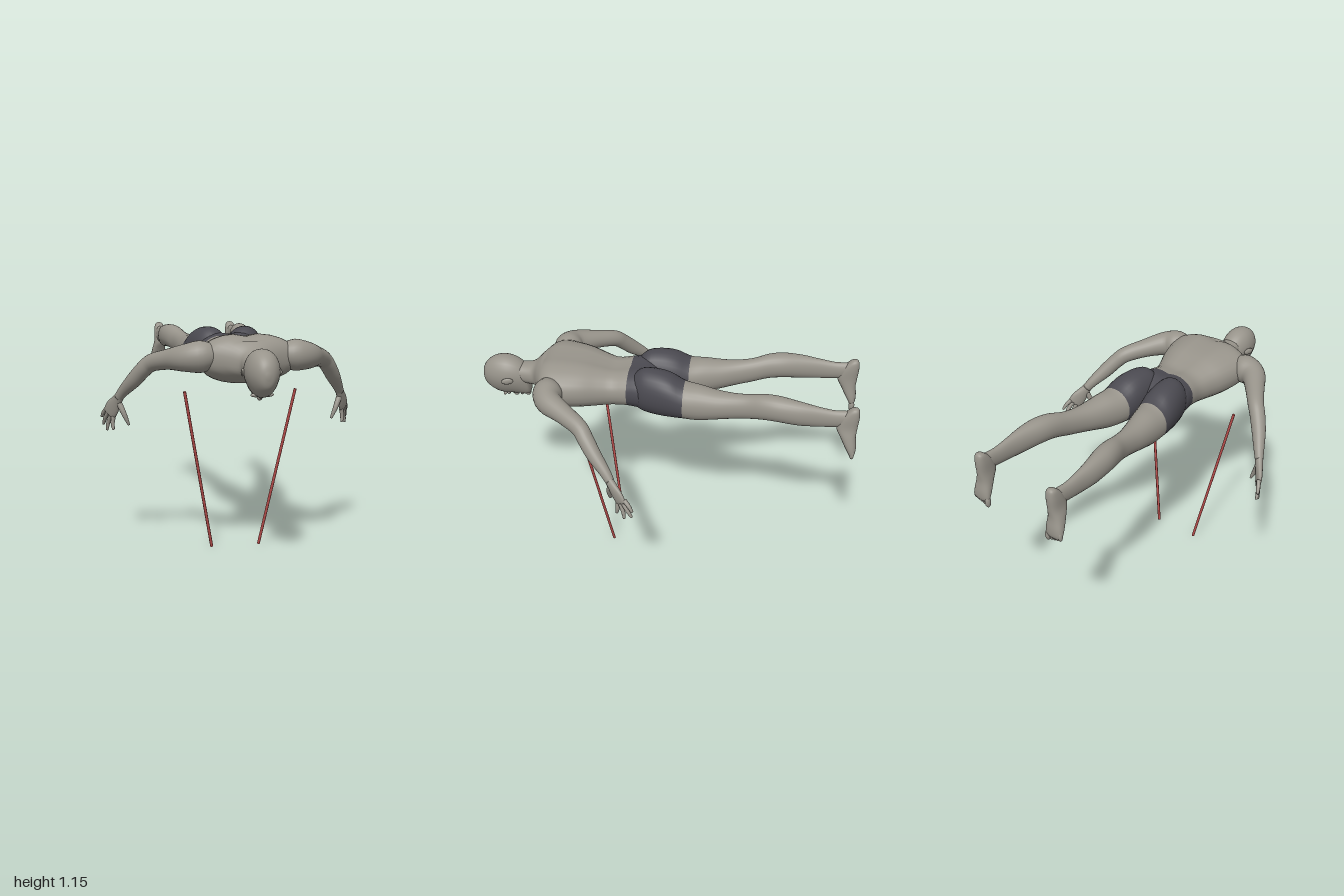
import * as THREE from 'three';

const material = (name, color) => {
  const m = new THREE.MeshStandardMaterial({ color });
  m.name = name;
  return m;
};
const skin = material('skin', 0x98948b);
const cloth = material('dark cloth', 0x4b4a51);
const red = material('red stick', 0xb24b49);

const SEG = 28, STEP = 4;
const V = (x, y, z) => new THREE.Vector3(x, y, z);

// Smoothly resamples a list of stations; original stations stay at multiples of STEP.
function resample(st) {
  const out = [];
  for (let i = 0; i < st.length - 1; i++) {
    const a = st[Math.max(i - 1, 0)], b = st[i], c = st[i + 1], d = st[Math.min(i + 2, st.length - 1)];
    for (let k = 0; k < STEP; k++) {
      const t = k / STEP;
      out.push(b.map((_, j) => {
        const m0 = (c[j] - a[j]) / 2, m1 = (d[j] - b[j]) / 2;
        return b[j] + m0 * t + (3 * (c[j] - b[j]) - 2 * m0 - m1) * t * t + (2 * (b[j] - c[j]) + m0 + m1) * t ** 3;
      }));
    }
  }
  out.push(st[st.length - 1]);
  return out;
}

// Closed skin over rings of points; rows after splitRow go to the second material.
function loft(name, rings, mats = [skin], splitRow = Infinity) {
  const pos = [], idx = [], n = rings.length;
  rings.forEach(r => r.forEach(p => pos.push(p.x, p.y, p.z)));
  const centre = r => r.reduce((s, p) => s.add(p), V(0, 0, 0)).divideScalar(SEG);
  const c0 = centre(rings[0]), c1 = centre(rings[n - 1]);
  pos.push(c0.x, c0.y, c0.z, c1.x, c1.y, c1.z);
  let splitAt = 0;
  for (let j = 0; j < SEG; j++) idx.push(n * SEG, (j + 1) % SEG, j);
  for (let i = 0; i < n - 1; i++) {
    if (i === splitRow) splitAt = idx.length;
    for (let j = 0; j < SEG; j++) {
      const k = (j + 1) % SEG, a = i * SEG + j, b = i * SEG + k;
      idx.push(a, b, a + SEG, b, b + SEG, a + SEG);
    }
  }
  for (let j = 0; j < SEG; j++) idx.push(n * SEG + 1, (n - 1) * SEG + j, (n - 1) * SEG + (j + 1) % SEG);
  // Turn all faces outward
  const at = i => V(pos[3 * i], pos[3 * i + 1], pos[3 * i + 2]);
  let volume = 0;
  for (let i = 0; i < idx.length; i += 3) volume += at(idx[i]).dot(at(idx[i + 1]).cross(at(idx[i + 2])));
  if (volume < 0) for (let i = 0; i < idx.length; i += 3) [idx[i], idx[i + 1]] = [idx[i + 1], idx[i]];
  const g = new THREE.BufferGeometry();
  g.setAttribute('position', new THREE.Float32BufferAttribute(pos, 3));
  g.setIndex(idx);
  g.computeVertexNormals();
  if (splitAt) {
    g.addGroup(0, splitAt, 0);
    g.addGroup(splitAt, idx.length - splitAt, 1);
  }
  const mesh = new THREE.Mesh(g, splitAt ? mats : mats[0]);
  mesh.name = name;
  return mesh;
}

// Rings from stations [along, centre x, half width, low, high]; place() maps (x, across, along).
const bodyRings = (st, place, power = 1) => resample(st).map(([t, x, w, lo, hi]) =>
  Array.from({ length: SEG }, (_, j) => {
    const a = j / SEG * Math.PI * 2, c = Math.cos(a), s = Math.sin(a);
    const f = v => Math.sign(v) * Math.abs(v) ** power;
    return place(x + w * f(c), (lo + hi) / 2 + (hi - lo) / 2 * f(s), t);
  }));

// Rings along a path of stations [x, y, z, wide radius, thin radius].
function sweepRings(st, wide) {
  const s = resample(st), p = s.map(q => V(q[0], q[1], q[2]));
  return s.map((q, i) => {
    const t = p[Math.min(i + 1, p.length - 1)].clone().sub(p[Math.max(i - 1, 0)]).normalize();
    const u = wide.clone().addScaledVector(t, -wide.dot(t)).normalize();
    const v = t.clone().cross(u);
    return Array.from({ length: SEG }, (_, j) => {
      const a = j / SEG * Math.PI * 2;
      return p[i].clone().addScaledVector(u, q[3] * Math.cos(a)).addScaledVector(v, q[4] * Math.sin(a));
    });
  });
}

function ball(name, x, y, z, rx, ry, rz) {
  const m = new THREE.Mesh(new THREE.SphereGeometry(1, 18, 12), skin);
  m.name = name;
  m.position.set(x, y, z);
  m.scale.set(rx, ry, rz);
  return m;
}

function makeTorso() {
  const st = [
    [0.80, 0, 0.058, 0.965, 1.07], [0.74, 0, 0.064, 0.96, 1.075], [0.705, 0, 0.075, 0.955, 1.09],
    [0.67, 0, 0.14, 0.95, 1.12], [0.63, 0, 0.215, 0.935, 1.145], [0.58, 0, 0.245, 0.918, 1.157],
    [0.50, 0, 0.235, 0.903, 1.155], [0.42, 0, 0.213, 0.90, 1.145], [0.34, 0, 0.18, 0.902, 1.125],
    [0.27, 0, 0.16, 0.907, 1.112], [0.19, 0, 0.166, 0.912, 1.125], [0.11, 0, 0.172, 0.905, 1.135],
    [0.04, 0, 0.12, 0.90, 1.10], [-0.02, 0, 0.03, 0.93, 1.04]];
  // Shallow groove along the spine
  const place = (x, y, z) => {
    const groove = y > 1.05 && z < 0.66 ? 0.016 * Math.exp(-((x / 0.045) ** 2)) : 0;
    return V(x, y - groove, z);
  };
  return loft('torso', bodyRings(st, place, 0.88), [skin, cloth], 10 * STEP);
}

function makeHead() {
  const head = new THREE.Group();
  head.name = 'head';
  const st = [
    [1.0, 0, 0.008, 0.985, 1.005], [0.99, 0, 0.034, 0.945, 1.045], [0.965, 0, 0.057, 0.917, 1.078],
    [0.925, 0, 0.075, 0.893, 1.102], [0.88, 0, 0.083, 0.884, 1.11], [0.84, 0, 0.081, 0.886, 1.105],
    [0.80, 0, 0.071, 0.885, 1.088], [0.77, 0, 0.059, 0.882, 1.06], [0.75, 0, 0.043, 0.892, 1.0],
    [0.742, 0, 0.015, 0.91, 0.95]];
  // The face is narrower than the back of the skull
  const place = (x, y, z) => V(x * (y < 1 ? 1 - 2 * (1 - y) : 1), y, z);
  head.add(loft('skull', bodyRings(st, place, 0.92)));
  head.add(ball('nose', 0, 0.882, 0.83, 0.014, 0.018, 0.017), ball('noseBridge', 0, 0.887, 0.85, 0.009, 0.01, 0.025));
  head.add(ball('lips', 0, 0.885, 0.795, 0.024, 0.008, 0.01), ball('chin', 0, 0.89, 0.762, 0.024, 0.015, 0.015));
  for (const s of [-1, 1]) {
    const ear = ball('ear', s * 0.085, 1.0, 0.848, 0.009, 0.018, 0.031);
    ear.rotation.y = s * 0.3;
    head.add(ear, ball('brow', s * 0.03, 0.897, 0.88, 0.026, 0.01, 0.01));
    head.add(ball('eye', s * 0.03, 0.897, 0.862, 0.014, 0.01, 0.009));
  }
  return head;
}

function makeArm(s) {
  const arm = new THREE.Group();
  arm.name = s > 0 ? 'leftArm' : 'rightArm';
  const side = st => st.map(([x, ...r]) => [s * x, ...r]);
  const limb = [
    [0.16, 1.055, 0.58, 0.05, 0.05], [0.23, 1.05, 0.585, 0.076, 0.078], [0.305, 1.042, 0.56, 0.066, 0.068],
    [0.375, 1.028, 0.47, 0.052, 0.052], [0.445, 1.003, 0.375, 0.043, 0.045], [0.485, 0.965, 0.335, 0.041, 0.042],
    [0.53, 0.905, 0.285, 0.037, 0.04], [0.575, 0.845, 0.225, 0.028, 0.03], [0.6, 0.805, 0.193, 0.022, 0.025]];
  arm.add(loft('armLimb', sweepRings(side(limb), V(s * 0.8, 0, 0.6))));
  const wide = V(s * 0.54, 0.61, -0.58);
  const palm = [
    [0.592, 0.82, 0.205, 0.024, 0.021], [0.61, 0.785, 0.18, 0.032, 0.02], [0.628, 0.75, 0.155, 0.043, 0.018],
    [0.643, 0.717, 0.134, 0.042, 0.014], [0.647, 0.708, 0.129, 0.03, 0.007]];
  arm.add(loft('palm', sweepRings(side(palm), wide)));
  // Fingers and thumb: base, middle, tip
  const fingers = [
    [[0.655, 0.74, 0.113], [0.67, 0.715, 0.088], [0.68, 0.69, 0.07]],
    [[0.648, 0.724, 0.126], [0.664, 0.685, 0.098], [0.672, 0.65, 0.076]],
    [[0.636, 0.711, 0.14], [0.65, 0.665, 0.122], [0.657, 0.625, 0.115]],
    [[0.624, 0.703, 0.152], [0.63, 0.665, 0.152], [0.627, 0.632, 0.158]],
    [[0.6, 0.78, 0.19], [0.575, 0.72, 0.205], [0.552, 0.665, 0.205]]];
  fingers.forEach(([a, b, c], i) => {
    const end = c.map((v, k) => v + (v - b[k]) * 0.08);
    const k = i === 4 ? 1.3 : 1;
    const st = [[...a, 0.012 * k, 0.012 * k], [...b, 0.0105 * k, 0.0105 * k], [...c, 0.007, 0.007], [...end, 0.002, 0.002]];
    arm.add(loft(i === 4 ? 'thumb' : 'finger', sweepRings(side(st), wide)));
  });
  return arm;
}

function makeLeg(s) {
  const leg = new THREE.Group();
  leg.name = s > 0 ? 'leftLeg' : 'rightLeg';
  const st = [
    [0.16, 0.085, 0.06, 0.94, 1.11], [0.11, 0.092, 0.088, 0.912, 1.15], [0.03, 0.104, 0.1, 0.904, 1.155],
    [-0.04, 0.113, 0.103, 0.905, 1.14], [-0.11, 0.122, 0.098, 0.91, 1.105], [-0.19, 0.135, 0.086, 0.912, 1.1],
    [-0.28, 0.15, 0.07, 0.932, 1.09], [-0.36, 0.163, 0.055, 0.95, 1.09], [-0.44, 0.177, 0.049, 0.967, 1.1],
    [-0.52, 0.197, 0.056, 0.985, 1.12], [-0.6, 0.212, 0.058, 0.99, 1.125], [-0.7, 0.225, 0.045, 0.985, 1.115],
    [-0.79, 0.229, 0.031, 0.987, 1.1], [-0.87, 0.23, 0.025, 0.993, 1.088], [-0.93, 0.23, 0.025, 1.0, 1.09],
    [-0.965, 0.23, 0.022, 1.02, 1.09]];
  leg.add(loft('legLimb', bodyRings(st, (x, y, z) => V(s * x, y, z), 0.95), [cloth, skin], 4 * STEP));
  // Foot hangs down from the heel with an upright sole
  const foot = [
    [1.112, 0.23, 0.008, -0.982, -0.968], [1.1, 0.23, 0.024, -0.995, -0.948], [1.06, 0.23, 0.031, -1, -0.912],
    [1.0, 0.231, 0.032, -0.996, -0.89], [0.95, 0.235, 0.04, -0.993, -0.912], [0.9, 0.237, 0.048, -1, -0.938],
    [0.865, 0.238, 0.049, -1, -0.958], [0.845, 0.238, 0.04, -0.994, -0.968]];
  leg.add(loft('foot', bodyRings(foot, (x, z, y) => V(s * x, y, z), 0.85)));
  for (let i = 0; i < 5; i++) {
    const r = i ? 0.0095 : 0.014;
    leg.add(ball('toe', s * (i ? 0.204 + i * 0.0185 : 0.2), 0.842 + i * 0.005, -0.982, r, i ? 0.026 : 0.031, r + 0.002));
  }
  return leg;
}

function makeStick(s) {
  const top = V(s * 0.288, 0.856, 0.412), foot = V(s * 0.128, 0.003, 0.29);
  const d = top.clone().sub(foot);
  const stick = new THREE.Mesh(new THREE.CylinderGeometry(0.008, 0.008, d.length(), 8), red);
  stick.name = s > 0 ? 'leftStick' : 'rightStick';
  stick.position.copy(top).add(foot).multiplyScalar(0.5);
  stick.quaternion.setFromUnitVectors(V(0, 1, 0), d.normalize());
  return stick;
}

export function createModel() {
  const model = new THREE.Group();
  model.name = 'proneFigure';
  model.add(makeTorso(), makeHead());
  for (const s of [1, -1]) model.add(makeArm(s), makeLeg(s), makeStick(s));
  return model;
}
